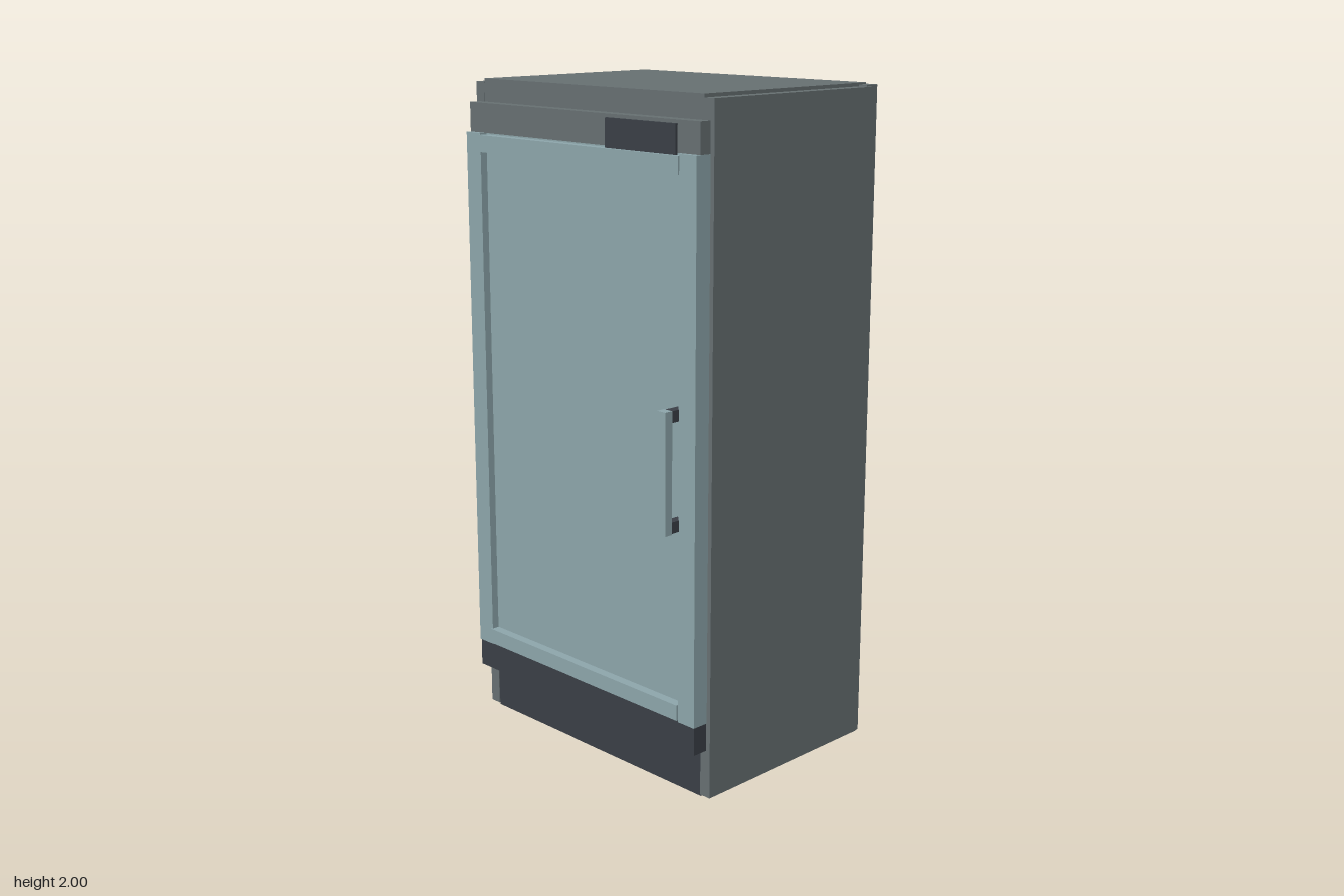
import * as THREE from 'three';

const grey = new THREE.MeshStandardMaterial({ name: 'cabinetGrey', color: 0x687173 });
const teal = new THREE.MeshStandardMaterial({ name: 'doorTeal', color: 0x8fa8ad });
const dark = new THREE.MeshStandardMaterial({ name: 'darkTrim', color: 0x3b4047 });

export function createModel() {
  const model = new THREE.Group();
  model.name = 'refrigerator';

  // Box given by its limits on each axis
  const box = (parent, name, material, [x0, x1], [y0, y1], [z0, z1]) => {
    const mesh = new THREE.Mesh(new THREE.BoxGeometry(x1 - x0, y1 - y0, z1 - z0), material);
    mesh.position.set((x0 + x1) / 2, (y0 + y1) / 2, (z0 + z1) / 2);
    mesh.name = name;
    parent.add(mesh);
    return mesh;
  };

  // Cabinet: core, side panels and back panel
  const cabinet = new THREE.Group();
  cabinet.name = 'cabinet';
  model.add(cabinet);
  box(cabinet, 'core', grey, [-0.455, 0.455], [0.15, 2], [-0.377, 0.284]);
  box(cabinet, 'base', dark, [-0.455, 0.455], [0, 0.15], [-0.377, 0.282]);
  box(cabinet, 'rightSide', grey, [-0.492, -0.455], [0.006, 1.99], [-0.372, 0.285]);
  box(cabinet, 'leftSide', grey, [0.455, 0.492], [0.006, 1.99], [-0.372, 0.285]);
  box(cabinet, 'backPanel', grey, [-0.485, 0.485], [0.003, 1.995], [-0.392, -0.346]);

  // Control strip above the door and grille below it
  box(model, 'controlStrip', grey, [-0.478, 0.478], [1.845, 1.932], [0.284, 0.322]);
  box(model, 'display', dark, [0.122, 0.394], [1.838, 1.922], [0.322, 0.331]);
  box(model, 'lowerGrille', dark, [-0.477, 0.477], [0.15, 0.235], [0.284, 0.334]);

  // Door: stiles, slightly prouder rails and a recessed panel
  const door = new THREE.Group();
  door.name = 'door';
  model.add(door);
  const bottom = 0.235, top = 1.845, zBack = 0.284;
  for (const [side, x0, x1] of [['right', -0.479, -0.415], ['left', 0.415, 0.479]]) {
    box(door, side + 'Stile', teal, [x0, x1], [bottom, top], [zBack, 0.337]);
  }
  box(door, 'topRail', teal, [-0.418, 0.415], [1.79, 1.84], [zBack, 0.342]);
  box(door, 'bottomRail', teal, [-0.418, 0.415], [0.24, 0.287], [zBack, 0.342]);
  box(door, 'doorPanel', teal, [-0.416, 0.416], [bottom, top], [zBack, 0.314]);

  // Handle: upright bar on two dark posts
  const handle = new THREE.Group();
  handle.name = 'handle';
  model.add(handle);
  box(handle, 'grip', teal, [0.387, 0.419], [0.803, 1.155], [0.365, 0.391]);
  for (const y of [0.805, 1.121]) {
    box(handle, 'post', dark, [0.389, 0.417], [y, y + 0.033], [0.314, 0.365]);
  }

  return model;
}
